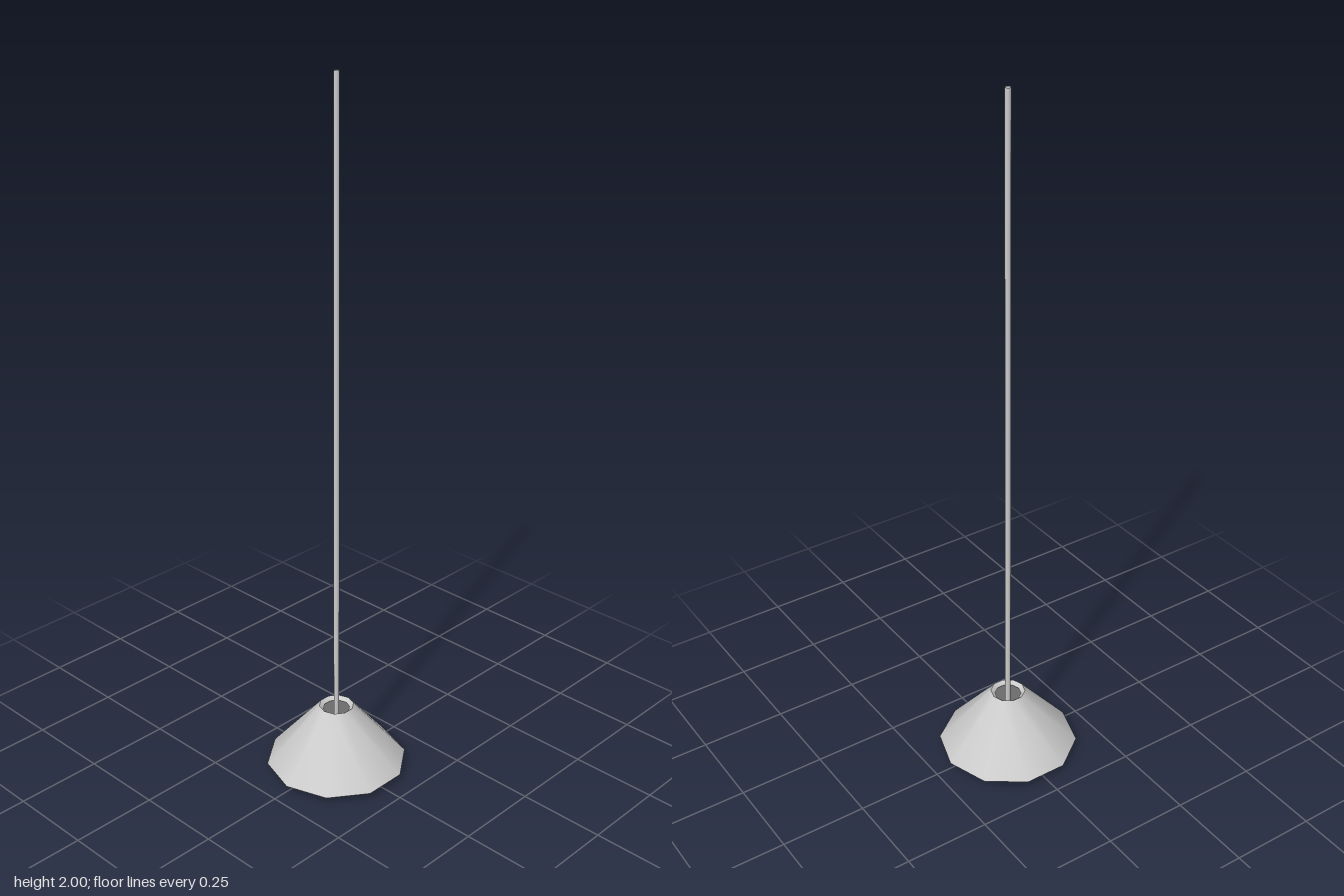
import * as THREE from 'three';
import { toCreasedNormals } from 'three/addons/utils/BufferGeometryUtils.js';

export function createModel() {
  const group = new THREE.Group();
  group.name = 'pendantLamp';
  const grey = new THREE.MeshStandardMaterial({ color: 0xcccccc });
  const open = new THREE.MeshStandardMaterial({ color: 0xcccccc, side: THREE.DoubleSide });

  const add = (name, geometry, material, y = 0) => {
    const mesh = new THREE.Mesh(geometry, material);
    mesh.name = name;
    mesh.position.y = y;
    group.add(mesh);
  };

  // Ten-sided conical shade: closed wall profile, thickened square to the slope
  const profile = [
    [0.203, 0.018], [0.05, 0.197], [0.038, 0.187], [0.191, 0.008], [0.203, 0.018],
  ].map(([r, y]) => new THREE.Vector2(r, y));
  add('shade', toCreasedNormals(new THREE.LatheGeometry(profile, 10), 1), grey);

  // Round bulb hanging inside the shade
  const bulbRadius = 0.069;
  add('bulb', new THREE.SphereGeometry(bulbRadius, 32, 16), grey, bulbRadius);

  // Long open-ended cord from the bulb up to the ceiling
  const cordBottom = 0.13;
  const cordLength = 2 - cordBottom;
  add('cord', new THREE.CylinderGeometry(0.008, 0.008, cordLength, 12, 1, true), open,
    cordBottom + cordLength / 2);

  return group;
}
